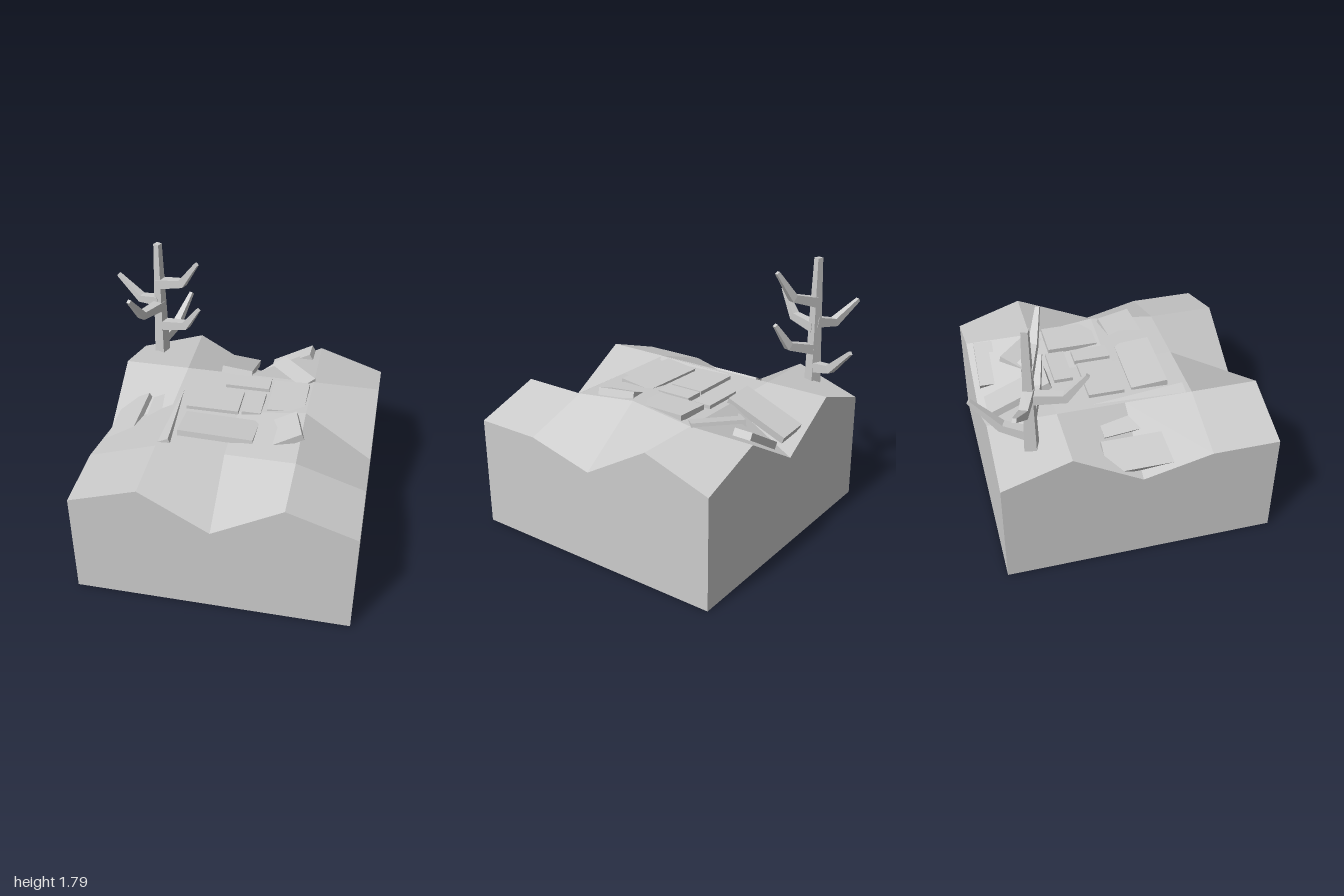
import * as THREE from 'three';

const grey = () => new THREE.MeshStandardMaterial({ color: 0xcccccc });

// Quads with one flat normal each, corners counter-clockwise from outside
function quadGeometry(quads) {
  const pos = [], nor = [];
  for (const [a, b, c, d] of quads) {
    const n = c.clone().sub(a).cross(d.clone().sub(b)).normalize();
    for (const p of [a, b, c, a, c, d]) {
      pos.push(p.x, p.y, p.z);
      nor.push(n.x, n.y, n.z);
    }
  }
  const g = new THREE.BufferGeometry();
  g.setAttribute('position', new THREE.Float32BufferAttribute(pos, 3));
  g.setAttribute('normal', new THREE.Float32BufferAttribute(nor, 3));
  return g;
}

// Block of earth with a hilly top on a 4 x 4 grid
function createGround() {
  const xs = [-0.85, -0.39, 0.07, 0.535, 0.995];
  const zs = [-0.865, -0.405, 0.055, 0.52, 0.98];
  const heights = [
    [0.765, 0.92, 0.65, 0.92, 0.765],
    [0.92, 0.92, 0.92, 0.92, 0.92],
    [0.65, 0.92, 0.92, 0.98, 0.65],
    [0.765, 0.92, 0.92, 0.92, 0.765],
    [0.765, 0.92, 0.65, 0.92, 0.765],
  ];
  const top = (i, j) => new THREE.Vector3(xs[i], heights[j][i], zs[j]);
  const low = (i, j) => new THREE.Vector3(xs[i], 0, zs[j]);
  const wall = (a, b) => [low(...a), low(...b), top(...b), top(...a)];
  const quads = [[low(0, 0), low(4, 0), low(4, 4), low(0, 4)]];
  for (let i = 0; i < 4; i++) {
    for (let j = 0; j < 4; j++) {
      quads.push([top(i, j + 1), top(i + 1, j + 1), top(i + 1, j), top(i, j)]);
    }
    quads.push(wall([i, 4], [i + 1, 4]), wall([i + 1, 0], [i, 0]));
    quads.push(wall([4, i + 1], [4, i]), wall([0, i], [0, i + 1]));
  }
  const mesh = new THREE.Mesh(quadGeometry(quads), grey());
  mesh.name = 'ground';
  return mesh;
}

// Flat stone; x, y, z is the centre of its upper face
function createSlab({ at, size, yaw = 0, pitch = 0, roll = 0 }) {
  const [w, d, t = 0.05] = size;
  const g = new THREE.BoxGeometry(w, t, d).translate(0, -t / 2, 0);
  const mesh = new THREE.Mesh(g, grey());
  mesh.position.set(...at);
  mesh.rotation.set(pitch, yaw, roll, 'YXZ');
  mesh.name = 'pavingSlab';
  return mesh;
}

// Square limb swept along points, tapering by half-widths
function createLimb(points, halfWidths, name) {
  const pts = points.map((p) => new THREE.Vector3(...p));
  const last = pts.length - 1;
  const out = pts[last].clone().sub(pts[0]).setY(0).normalize();
  const side = new THREE.Vector3(-out.z, 0, out.x);
  const rings = pts.map((p, i) => {
    const along = pts[Math.min(i + 1, last)].clone().sub(pts[Math.max(i - 1, 0)]).normalize();
    const up = side.clone().cross(along);
    const r = halfWidths[i];
    return [[-1, -1], [1, -1], [1, 1], [-1, 1]].map(([s, u]) =>
      p.clone().addScaledVector(side, s * r).addScaledVector(up, u * r));
  });
  const quads = [[...rings[0]].reverse(), rings[last]];
  for (let i = 0; i < last; i++) {
    for (let k = 0; k < 4; k++) {
      const m = (k + 1) % 4;
      quads.push([rings[i][k], rings[i][m], rings[i + 1][m], rings[i + 1][k]]);
    }
  }
  const mesh = new THREE.Mesh(quadGeometry(quads), grey());
  mesh.material.side = THREE.DoubleSide;
  mesh.name = name;
  return mesh;
}

// Bare tree: tapered square trunk and bent branches
function createTree() {
  const tree = new THREE.Group();
  tree.name = 'deadTree';
  const trunkGeometry = new THREE.CylinderGeometry(0.03, 0.06, 0.99, 4).toNonIndexed();
  trunkGeometry.computeVertexNormals();
  const trunk = new THREE.Mesh(trunkGeometry, grey());
  trunk.position.set(-0.64, 1.295, -0.62);
  trunk.rotation.y = Math.PI / 4 - 0.38;
  trunk.name = 'trunk';
  tree.add(trunk);
  const branches = [
    [[-0.64, 1.34, -0.62], [-0.80, 1.31, -0.685], [-0.99, 1.44, -0.765]],
    [[-0.64, 1.01, -0.62], [-0.565, 1.05, -0.79], [-0.49, 1.225, -0.97]],
    [[-0.64, 1.48, -0.62], [-0.45, 1.54, -0.545], [-0.33, 1.73, -0.485]],
    [[-0.64, 1.14, -0.62], [-0.43, 1.205, -0.535], [-0.325, 1.37, -0.485]],
    [[-0.64, 1.30, -0.62], [-0.72, 1.325, -0.41], [-0.77, 1.50, -0.285]],
  ];
  for (const path of branches) tree.add(createLimb(path, [0.035, 0.028, 0.013], 'branch'));
  return tree;
}

export function createModel() {
  const model = new THREE.Group();
  model.name = 'hillWithTree';
  model.add(createGround(), createTree());

  const slabs = new THREE.Group();
  slabs.name = 'brokenPath';
  const layout = [
    // flat slabs on the crest
    { at: [0.085, 0.945, -0.285], size: [0.31, 0.13] },
    { at: [0.39, 0.96, -0.145], size: [0.25, 0.35], roll: 0.04 },
    { at: [-0.105, 0.945, -0.04], size: [0.36, 0.245] },
    { at: [0.165, 0.95, -0.045], size: [0.13, 0.25] },
    { at: [-0.02, 0.95, 0.265], size: [0.51, 0.25], yaw: -0.03, pitch: -0.1 },
    // tilted slabs on the slopes
    { at: [0.38, 0.96, 0.25], size: [0.29, 0.25], yaw: 0.28, roll: 0.38 },
    { at: [-0.025, 0.88, -0.61], size: [0.22, 0.46], yaw: 0.02, pitch: -0.4, roll: -0.1 },
    { at: [0.325, 0.88, -0.76], size: [0.33, 0.13], yaw: -0.03, roll: 0.53 },
    { at: [0.33, 0.92, -0.45], size: [0.35, 0.25], yaw: -0.77, pitch: 0.2 },
    { at: [-0.45, 0.885, 0.17], size: [0.25, 0.63], yaw: 0.06, pitch: -0.05, roll: 0.42 },
    { at: [-0.72, 0.775, 0.09], size: [0.22, 0.52], roll: 0.5 },
  ];
  for (const slab of layout) slabs.add(createSlab(slab));
  model.add(slabs);
  return model;
}
